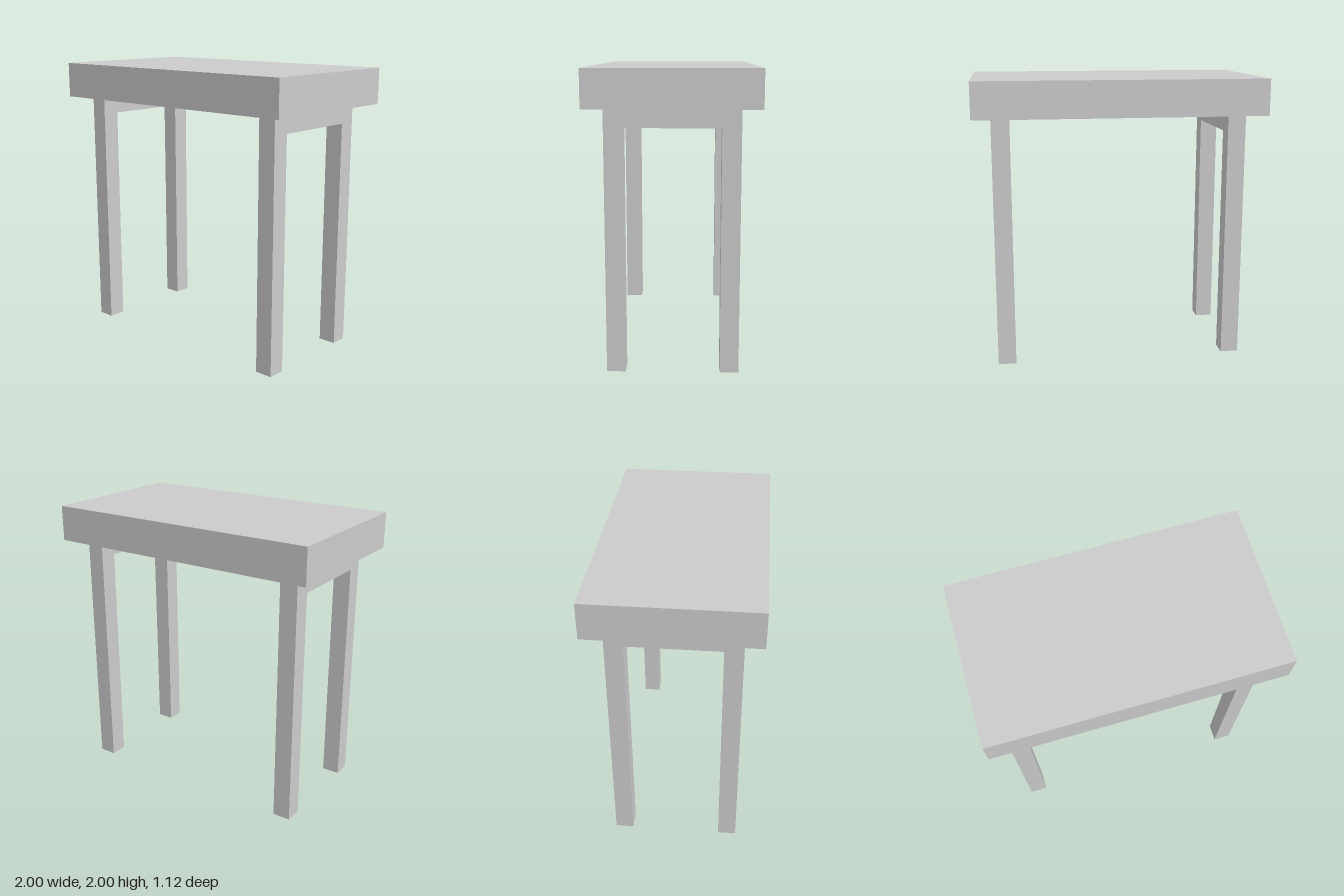
import * as THREE from 'three';

const TOP = { width: 2, height: 0.25, depth: 1.125 };
const LEG = 0.125;           // square leg section
const FRAME_HEIGHT = 1.75;
const FRAME_HALF = 0.4375;   // half depth of a leg frame
const FRAME_X = 0.8125;      // centre of each frame

export function createModel() {
  const group = new THREE.Group();
  const material = new THREE.MeshStandardMaterial({ color: 0xcccccc, flatShading: true });

  // Thick slab top
  const top = new THREE.Mesh(new THREE.BoxGeometry(TOP.width, TOP.height, TOP.depth), material);
  top.name = 'tableTop';
  top.position.y = FRAME_HEIGHT + TOP.height / 2;
  group.add(top);

  // U-shaped frame: two legs joined by a rail under the top
  const inner = FRAME_HALF - LEG;
  const railBottom = FRAME_HEIGHT - LEG;
  const outline = new THREE.Shape([
    [-FRAME_HALF, 0], [-inner, 0], [-inner, railBottom], [inner, railBottom],
    [inner, 0], [FRAME_HALF, 0], [FRAME_HALF, FRAME_HEIGHT], [-FRAME_HALF, FRAME_HEIGHT],
  ].map(([z, y]) => new THREE.Vector2(z, y)));
  const frameGeometry = new THREE.ExtrudeGeometry(outline, { depth: LEG, bevelEnabled: false });
  frameGeometry.translate(0, 0, -LEG / 2).rotateY(Math.PI / 2);

  // One frame at each end
  for (const [name, side] of [['leftLegFrame', 1], ['rightLegFrame', -1]]) {
    const frame = new THREE.Mesh(frameGeometry, material);
    frame.name = name;
    frame.position.x = side * FRAME_X;
    group.add(frame);
  }

  return group;
}
